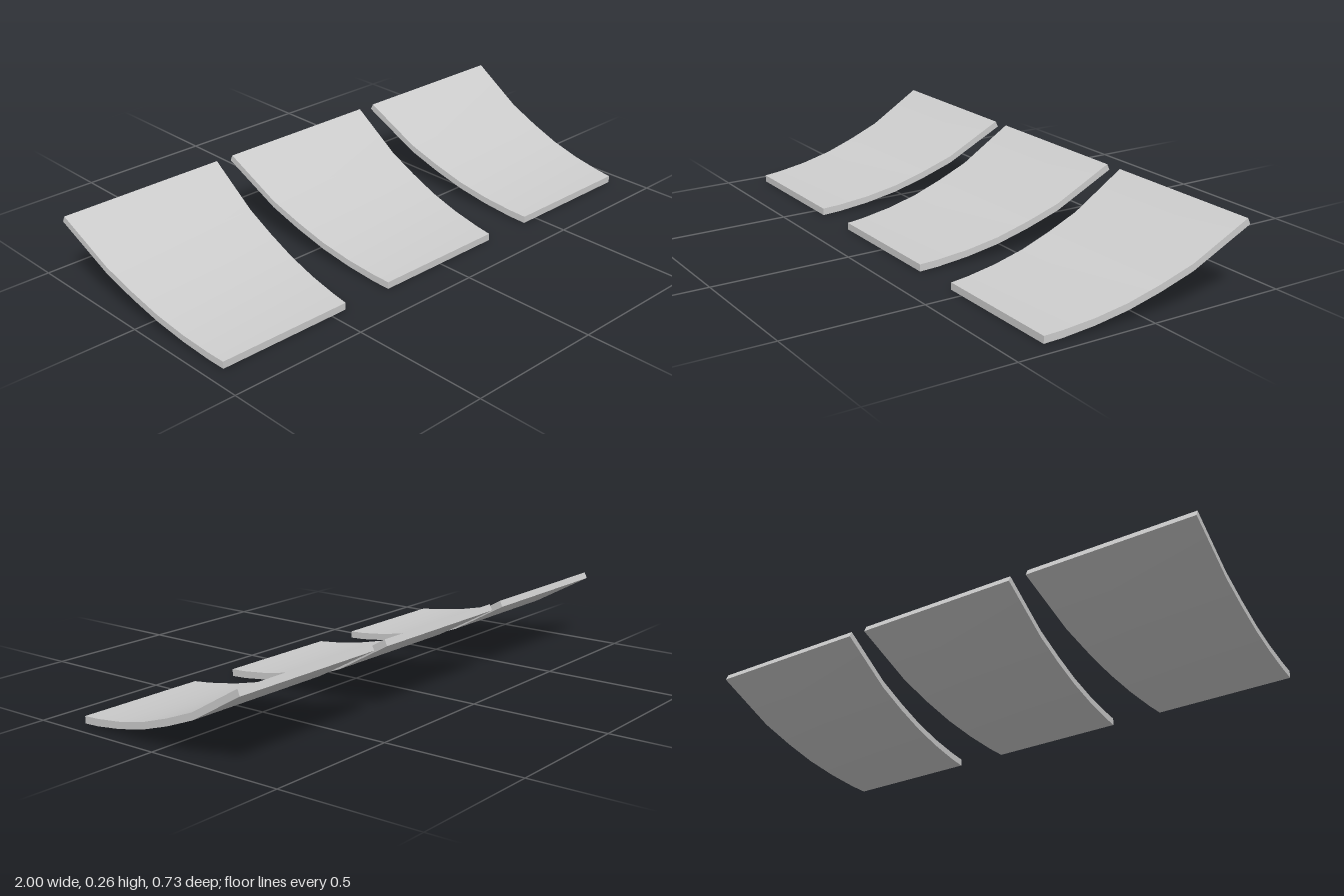
import * as THREE from 'three';
import { toCreasedNormals } from 'three/addons/utils/BufferGeometryUtils.js';

// Side profile as [z, y], front to back
const TOP = [[0.367, 0.025], [0.302, 0.03], [0.191, 0.045], [0.075, 0.07], [-0.04, 0.107], [-0.158, 0.152], [-0.357, 0.265]];
const BOTTOM = [[0.367, 0], [0.302, 0.005], [0.191, 0.021], [0.075, 0.046], [-0.04, 0.082], [-0.158, 0.127], [-0.367, 0.244]];

// Curved slab: profile extruded across x, then narrowed toward the front
function panelGeometry() {
  const outline = [...BOTTOM, ...TOP.slice().reverse()].map(([z, y]) => new THREE.Vector2(-z, y));
  const geometry = new THREE.ExtrudeGeometry(new THREE.Shape(outline), { depth: 2, bevelEnabled: false });
  geometry.translate(0, 0, -1).rotateY(Math.PI / 2);
  const p = geometry.attributes.position;
  for (let i = 0; i < p.count; i++) {
    const halfWidth = THREE.MathUtils.mapLinear(p.getZ(i), 0.367, -0.367, 0.249, 0.311);
    p.setX(i, p.getX(i) * halfWidth);
  }
  return toCreasedNormals(geometry, Math.PI / 6);
}

export function createModel() {
  const group = new THREE.Group();
  group.name = 'curvedPanels';
  const grey = new THREE.MeshStandardMaterial({ color: 0xcccccc });
  grey.name = 'light grey';
  const geometry = panelGeometry();

  // Three identical panels side by side
  [['rightPanel', -0.689], ['centrePanel', 0], ['leftPanel', 0.689]].forEach(([name, x]) => {
    const panel = new THREE.Mesh(geometry, grey);
    panel.name = name;
    panel.position.x = x;
    group.add(panel);
  });
  return group;
}
